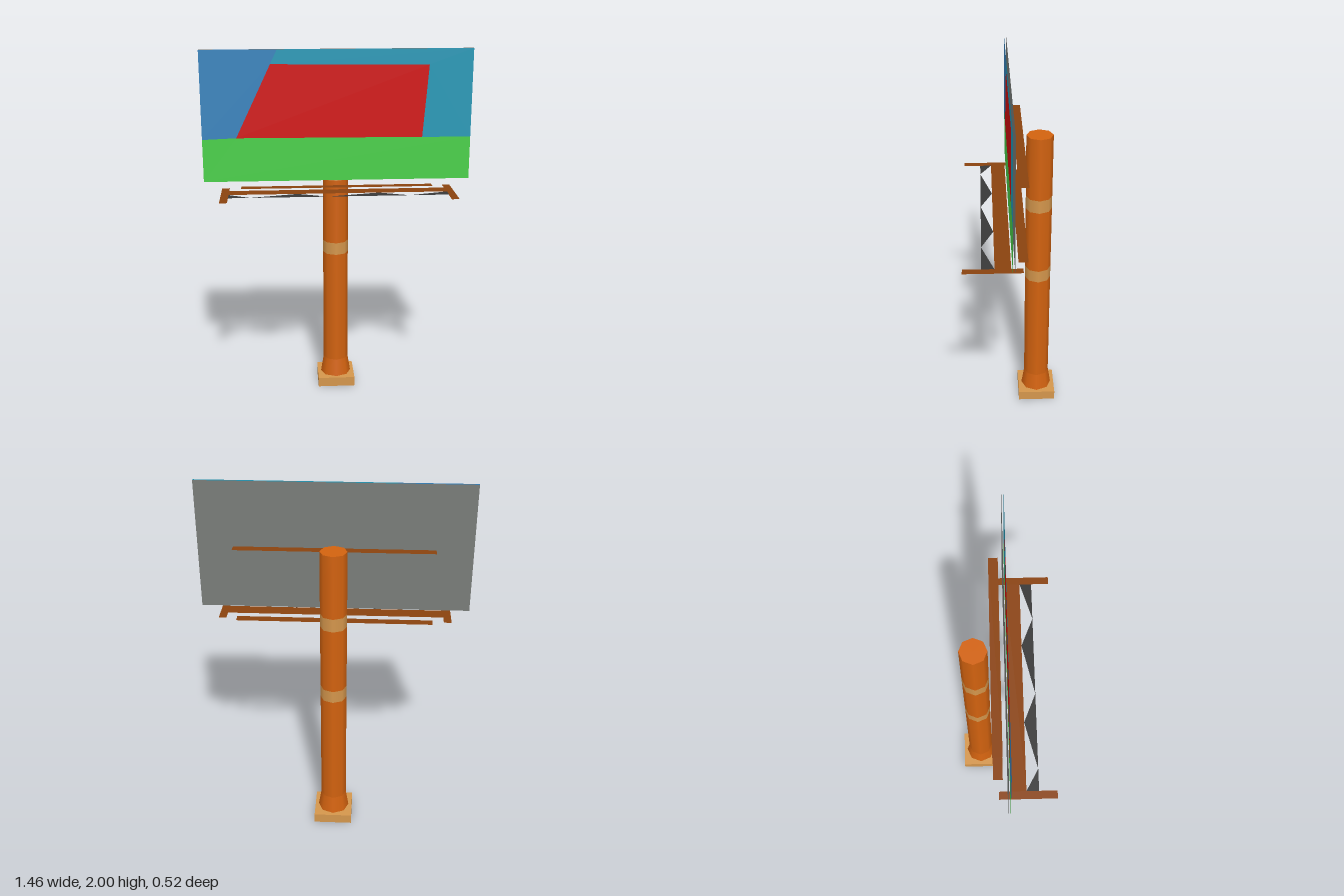
import * as THREE from 'three';

const paint = (name, color, side = THREE.DoubleSide) => {
  const m = new THREE.MeshStandardMaterial({ color, side });
  m.name = name;
  return m;
};

export function createModel() {
  const orange = paint('poleOrange', 0xd2620f);
  const tan = paint('paleTan', 0xd4964c);
  const brown = paint('darkBrown', 0x8a430f);
  const charcoal = paint('charcoal', 0x383838);
  const grey = paint('backGrey', 0x797c79);
  const blue = paint('blue', 0x3783bd);
  const teal = paint('teal', 0x2498b6);
  const red = paint('red', 0xd20d0d);
  const green = paint('green', 0x49cf49);

  const model = new THREE.Group();
  model.name = 'billboard';
  const add = (name, geometry, material, parent = model) => {
    const mesh = new THREE.Mesh(geometry, material);
    mesh.name = name;
    parent.add(mesh);
    return mesh;
  };
  const polygon = (points) => new THREE.Shape(points.map(([x, y]) => new THREE.Vector2(x, y)));
  const rect = (x0, y0, x1, y1) => [[x0, y0], [x1, y0], [x1, y1], [x0, y1]];

  // Eight-sided pole: flared foot, shaft and two flush pale bands
  const poleZ = -0.153, poleR = 0.072, footR = 0.088;
  const pole = new THREE.Group();
  pole.name = 'pole';
  pole.position.z = poleZ;
  model.add(pole);
  const section = (name, y0, y1, r0, material) => {
    const g = new THREE.CylinderGeometry(poleR, r0, y1 - y0, 8, 1, true);
    add(name, g, material, pole).position.y = (y0 + y1) / 2;
  };
  section('poleFoot', 0.055, 0.155, footR, orange);
  section('lowerShaft', 0.155, 0.82, poleR, orange);
  section('lowerBand', 0.82, 0.89, poleR, tan);
  section('middleShaft', 0.89, 1.26, poleR, orange);
  section('upperBand', 1.26, 1.335, poleR, tan);
  section('upperShaft', 1.335, 1.69, poleR, orange);
  const cap = add('poleCap', new THREE.CircleGeometry(poleR, 8), orange, pole);
  cap.rotation.x = -Math.PI / 2;
  cap.position.y = 1.69;

  // Base: hollow square plinth, open below, with the pole set into its top
  const half = 0.107, baseH = 0.055;
  const top = polygon(rect(-half, -half, half, half));
  const ring = [];
  for (let i = 0; i < 8; i++) {
    const a = (i * Math.PI) / 4;
    ring.push(new THREE.Vector2(Math.cos(a) * footR, Math.sin(a) * footR));
  }
  top.holes.push(new THREE.Path(ring));
  const base = new THREE.Group();
  base.name = 'base';
  base.position.z = poleZ;
  model.add(base);
  const baseTop = add('baseTop', new THREE.ShapeGeometry(top), tan, base);
  baseTop.rotation.x = -Math.PI / 2;
  baseTop.position.y = baseH;
  for (let i = 0; i < 4; i++) {
    const g = new THREE.PlaneGeometry(half * 2, baseH).translate(0, baseH / 2, half);
    add('baseSide', g.rotateY((i * Math.PI) / 2), tan, base);
  }

  // Sign: painted front sheet with a plain sheet just behind it
  const frontZ = 0.015, backZ = 0.003, W = 0.728, bottom = 1.29;
  const sheet = (name, points, material, z = frontZ) =>
    add(name, new THREE.ShapeGeometry(polygon(points)).translate(0, 0, z), material);
  const tl = [-0.355, 1.923], tr = [0.493, 1.915], br = [0.463, 1.525], bl = [-0.545, 1.53];
  const horizonL = [-W, 1.523], horizonR = [W, 1.522], split = [-0.318, 2];
  sheet('redPanel', [bl, br, tr, tl], red);
  sheet('blueField', [horizonL, bl, tl, split, [-W, 2]], blue);
  sheet('tealField', [br, horizonR, [W, 2], split, tl, tr], teal);
  sheet('greenField', [[-W, bottom], [W, bottom], horizonR, br, bl, horizonL], green);
  const back = new THREE.PlaneGeometry(W * 2, 2 - bottom).rotateY(Math.PI);
  add('signBack', back.translate(0, (2 + bottom) / 2, backZ), grey);

  // Flat horizontal pieces, given as x and z outlines at a height
  const flat = (name, points, y, material) => {
    const shape = polygon(points.map(([x, z]) => [x, -z]));
    add(name, new THREE.ShapeGeometry(shape).rotateX(-Math.PI / 2).translate(0, y, 0), material);
  };
  const deckY = 1.238;
  flat('upperRail', rect(-0.53, -0.07, 0.535, -0.02), 1.65, brown);
  flat('lowerRail', rect(-0.53, -0.07, 0.535, -0.02), deckY, brown);
  flat('walkway', rect(-0.592, 0.018, 0.595, 0.1), deckY, brown);
  for (const s of [-1, 1]) {
    flat('walkwayArm', rect(s * 0.613 - 0.021, -0.042, s * 0.613 + 0.021, 0.26), deckY, brown);
  }

  // Triangular bracing along the front of the walkway
  const zIn = 0.1, zOut = 0.165;
  const braces = [
    [[-0.592, zIn], [-0.592, zOut], [-0.475, zOut]],
    [[-0.475, zOut], [-0.22, zIn], [-0.06, zOut]],
    [[-0.06, zOut], [0.22, zIn], [0.38, zOut]],
    [[0.38, zOut], [0.595, zIn], [0.595, zOut]],
  ];
  braces.forEach((points) => flat('walkwayBrace', points, deckY, charcoal));

  return model;
}
